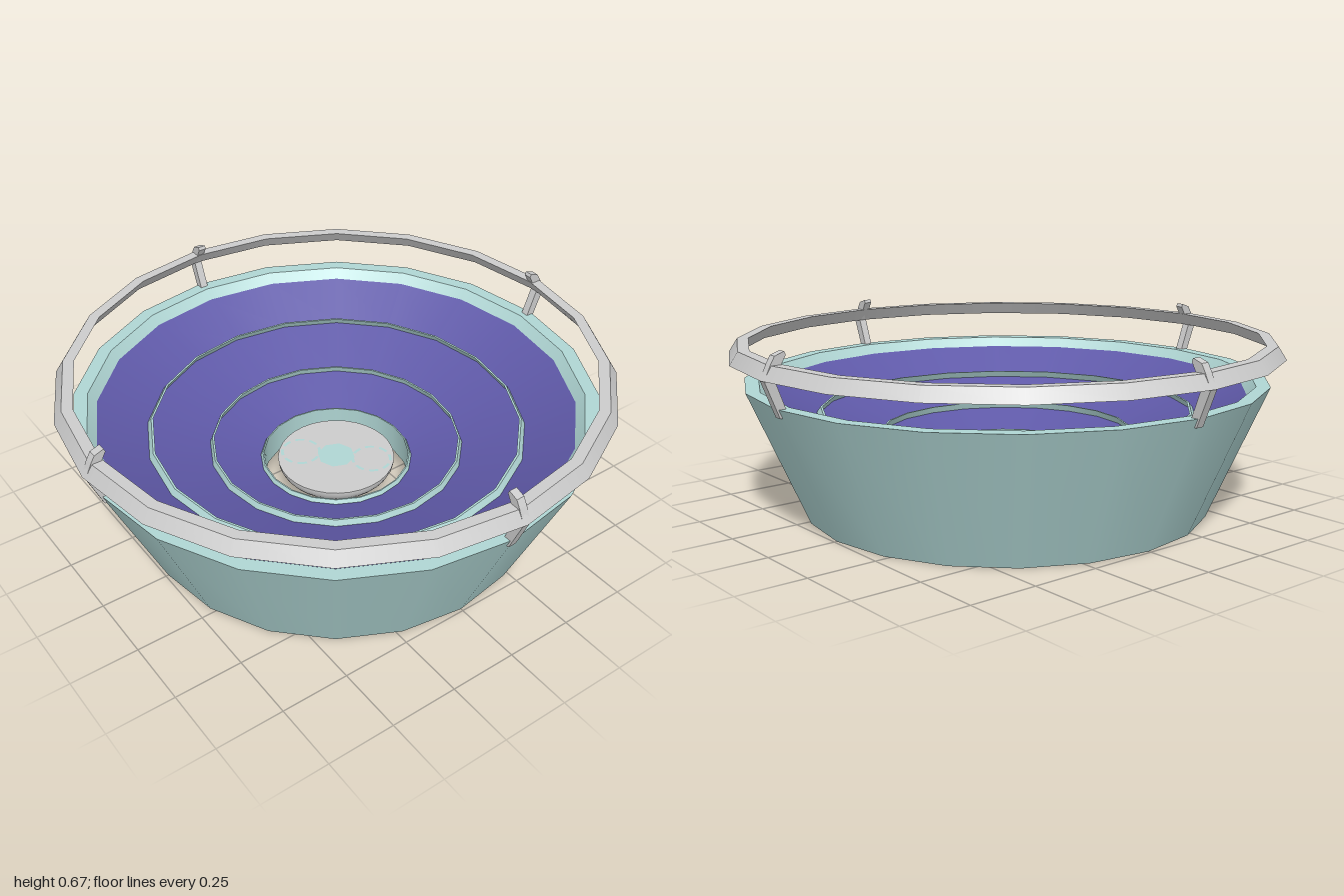
import * as THREE from 'three';
import { mergeGeometries } from 'three/addons/utils/BufferGeometryUtils.js';

const SIDES = 20;

// Revolve a profile one straight band at a time, so its corners stay sharp.
function bands(points, closed = false) {
  const pts = points.map(([r, y]) => new THREE.Vector2(r, y));
  if (closed) pts.push(pts[0].clone());
  const parts = [];
  for (let i = 0; i < pts.length - 1; i++) {
    parts.push(new THREE.LatheGeometry([pts[i], pts[i + 1]], SIDES));
  }
  return mergeGeometries(parts);
}

export function createModel() {
  const model = new THREE.Group();
  const teal = new THREE.MeshStandardMaterial({ name: 'pale teal', color: 0xb0d6d4, side: THREE.DoubleSide });
  const grey = new THREE.MeshStandardMaterial({ name: 'light grey', color: 0xcccccc, side: THREE.DoubleSide });
  const purple = new THREE.MeshStandardMaterial({ name: 'purple', color: 0x5f59a8, side: THREE.DoubleSide });

  const add = (name, geometry, material, parent = model) => {
    const mesh = new THREE.Mesh(geometry, material);
    mesh.name = name;
    parent.add(mesh);
    return mesh;
  };

  // Hollow tapered shell with a flat lip turning inward
  add('shell', bands([[0.74, 0], [0.95, 0.485], [0.90, 0.485], [0.87, 0.45]]), teal);

  // Shallow funnel inside the shell
  add('funnel', bands([[0.87, 0.45], [0.69, 0.352], [0.465, 0.265], [0.28, 0.202]]), purple);

  // Ridges leaning inward on the funnel
  add('outerRidge', bands([[0.70, 0.345], [0.68, 0.375], [0.672, 0.375], [0.688, 0.345]], true), teal);
  add('innerRidge', bands([[0.472, 0.258], [0.46, 0.288], [0.453, 0.288], [0.464, 0.258]], true), teal);

  // Open tube at the middle
  add('centreTube', bands([[0.282, 0.1], [0.282, 0.205], [0.275, 0.218], [0.27, 0.218], [0.274, 0.1]], true), teal);

  // Floating core: flat on top, domed below
  const core = new THREE.Group();
  core.name = 'core';
  core.position.y = 0.2;
  model.add(core);
  const dome = new THREE.SphereGeometry(0.218, 32, 10, 0, Math.PI * 2, Math.PI / 2, Math.PI / 2);
  add('coreDome', dome.scale(1, 0.5, 1), grey, core);
  add('coreTop', new THREE.CircleGeometry(0.218, 32).rotateX(-Math.PI / 2), grey, core);
  const hub = add('coreHub', new THREE.CircleGeometry(0.07, 8).rotateX(-Math.PI / 2), teal, core);
  hub.position.y = 0.003;

  // Two dashed circles painted on the core
  for (const s of [-1, 1]) {
    const dashes = [];
    for (let i = 0; i < 8; i++) {
      dashes.push(new THREE.RingGeometry(0.065, 0.076, 3, 1, i * Math.PI / 4, 0.5).rotateX(-Math.PI / 2));
    }
    const ring = add('coreDashedCircle', mergeGeometries(dashes), teal, core);
    ring.position.set(s * 0.095, 0.003, s * 0.095);
  }

  // Raised ring, slanting inward
  add('topRing', bands([[1.0, 0.583], [0.97, 0.63], [0.93, 0.63], [0.96, 0.583]], true), grey);

  // Four hooked struts holding the ring
  const profile = [
    [0.91, 0.455], [0.943, 0.455], [0.995, 0.583], [0.97, 0.635],
    [0.955, 0.66], [0.92, 0.672], [0.915, 0.66], [0.935, 0.625], [0.958, 0.583],
  ].map(([r, y]) => new THREE.Vector2(r, y));
  const strut = new THREE.ExtrudeGeometry(new THREE.Shape(profile), { depth: 0.03, bevelEnabled: false });
  strut.translate(0, 0, -0.015);
  for (let i = 0; i < 4; i++) {
    add('strut', strut, grey).rotation.y = i * Math.PI / 2;
  }
  return model;
}
